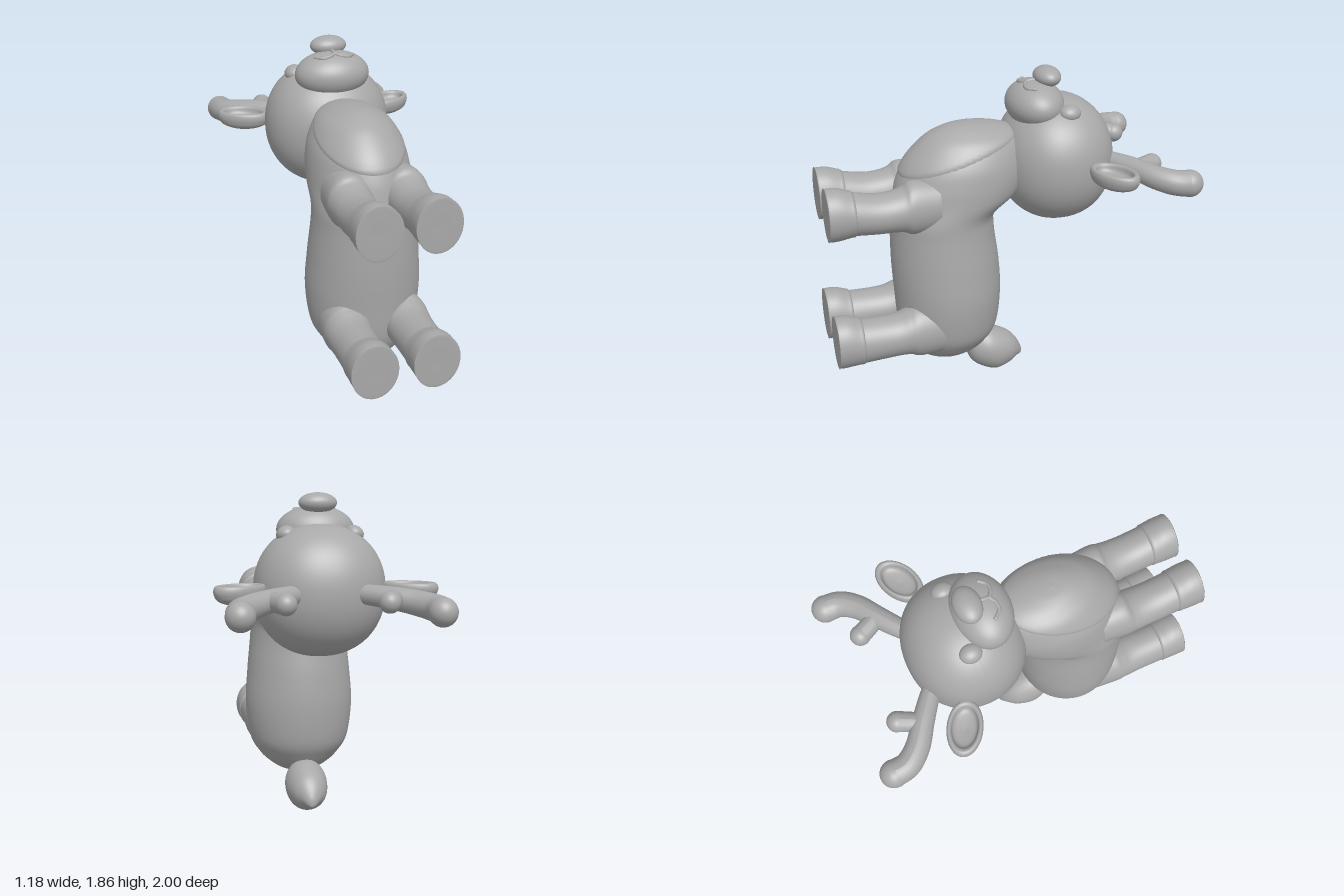
import * as THREE from 'three';

// Closed surface through elliptical rings [z, centreY, radiusX, radiusY], ascending in z
function loft(rows, steps = 5, sides = 48) {
  const curve = (f) => new THREE.CatmullRomCurve3(rows.map(f), false, 'catmullrom', 0.5);
  const centres = curve(([z, c]) => new THREE.Vector3(0, c, z));
  const radii = curve(([, , rx, ry]) => new THREE.Vector3(rx, ry, 0));
  const n = (rows.length - 1) * steps;
  const pos = [], index = [];
  for (let i = 0; i <= n; i++) {
    const p = centres.getPoint(i / n), r = radii.getPoint(i / n);
    for (let j = 0; j < sides; j++) {
      const a = (j / sides) * Math.PI * 2;
      pos.push(Math.cos(a) * Math.max(r.x, 0.0005), p.y + Math.sin(a) * Math.max(r.y, 0.0005), p.z);
    }
  }
  for (let i = 0; i < n; i++) {
    for (let j = 0; j < sides; j++) {
      const k = (j + 1) % sides;
      const a = i * sides + j, b = i * sides + k, c = a + sides, d = b + sides;
      index.push(a, b, c, b, d, c);
    }
  }
  const g = new THREE.BufferGeometry();
  g.setAttribute('position', new THREE.Float32BufferAttribute(pos, 3));
  g.setIndex(index);
  g.computeVertexNormals();
  return g;
}

// Tube whose radius grows evenly along its path
function taperedTube(points, r0, r1) {
  const path = new THREE.CatmullRomCurve3(points.map((p) => new THREE.Vector3(...p)));
  const segs = 28, sides = 20;
  const g = new THREE.TubeGeometry(path, segs, 1, sides, false);
  const pos = g.attributes.position, v = new THREE.Vector3();
  for (let i = 0; i <= segs; i++) {
    const c = path.getPointAt(i / segs), r = r0 + (r1 - r0) * (i / segs);
    for (let j = 0; j <= sides; j++) {
      const k = i * (sides + 1) + j;
      v.fromBufferAttribute(pos, k).sub(c).multiplyScalar(r).add(c);
      pos.setXYZ(k, v.x, v.y, v.z);
    }
  }
  g.computeVertexNormals();
  return g;
}

export function createModel() {
  const model = new THREE.Group();
  const grey = new THREE.MeshStandardMaterial({ color: 0xa8a8a8 });
  grey.name = 'plain grey';

  const add = (name, geometry, x = 0, y = 0, z = 0) => {
    const m = new THREE.Mesh(geometry, grey);
    m.name = name;
    m.position.set(x, y, z);
    model.add(m);
    return m;
  };
  const ellipsoid = (name, x, y, z, rx, ry, rz) =>
    add(name, new THREE.SphereGeometry(1, 40, 28).scale(rx, ry, rz), x, y, z);

  // Body and neck: [y, z at back, z at belly, half width]
  const bodyRows = [
    [0.175, 0.33, 0.33, 0], [0.19, 0.23, 0.43, 0.1], [0.24, 0.135, 0.52, 0.18],
    [0.3, 0.08, 0.57, 0.24], [0.4, 0.03, 0.605, 0.295], [0.6, 0.01, 0.62, 0.32],
    [0.8, 0.02, 0.63, 0.308], [1.0, 0.045, 0.63, 0.288], [1.1, 0.03, 0.63, 0.283],
    [1.2, -0.1, 0.61, 0.28], [1.3, -0.15, 0.585, 0.272], [1.4, -0.15, 0.535, 0.25],
    [1.5, -0.12, 0.44, 0.195], [1.55, -0.05, 0.36, 0.13], [1.577, 0.08, 0.28, 0.065],
    [1.585, 0.19, 0.19, 0],
  ].map(([y, b, f, w]) => [y, -(b + f) / 2, w, (f - b) / 2]);
  const bodyGeo = loft(bodyRows, 8, 64).rotateX(-Math.PI / 2);
  add('body', bodyGeo);

  // Chest patch: the body skin raised above a slanting seam and sunk below it
  const chest = bodyGeo.clone();
  const cp = chest.attributes.position, cn = chest.attributes.normal;
  for (let i = 0; i < cp.count; i++) {
    const d = cp.getY(i) - (1.5 - 0.29 * cp.getZ(i));
    const o = THREE.MathUtils.clamp(d * 0.8, -0.02, 0.006);
    cp.setXYZ(i, cp.getX(i) + cn.getX(i) * o, cp.getY(i) + cn.getY(i) * o, cp.getZ(i) + cn.getZ(i) * o);
  }
  chest.computeVertexNormals();
  add('chestPatch', chest);

  // Head: a slightly squared ellipsoid
  const headGeo = new THREE.SphereGeometry(1, 64, 48);
  const hp = headGeo.attributes.position, e = 2.15;
  for (let i = 0; i < hp.count; i++) {
    const v = new THREE.Vector3().fromBufferAttribute(hp, i);
    const s = Math.pow(Math.abs(v.x) ** e + Math.abs(v.y) ** e + Math.abs(v.z) ** e, -1 / e);
    hp.setXYZ(i, v.x * s * 0.355, v.y * s * 0.355, v.z * s * 0.325);
  }
  headGeo.computeVertexNormals();
  add('head', headGeo, 0, 1.342, -0.322);

  // Face
  ellipsoid('muzzle', 0, 1.66, -0.205, 0.213, 0.13, 0.158);
  ellipsoid('nose', 0, 1.805, -0.275, 0.104, 0.055, 0.074);
  const onMuzzle = (x, z) => new THREE.Vector3(
    x, 1.66 + 0.13 * Math.sqrt(1 - (x / 0.213) ** 2 - ((z + 0.205) / 0.158) ** 2), z);
  const line = (name, pts) => {
    const path = new THREE.CatmullRomCurve3(pts.map((p) => onMuzzle(...p)));
    add(name, new THREE.TubeGeometry(path, 24, 0.011, 10));
    ellipsoid(name + 'End', ...path.getPoint(1).toArray(), 0.011, 0.011, 0.011);
  };
  line('mouthCentre', [[0, -0.23], [0, -0.19], [0, -0.155]]);

  // Leg and hoof profiles: [z, centreY, radiusX, radiusY]
  const frontLeg = [[0.4, 1.2, 0.11, 0.14], [0.54, 1.2, 0.122, 0.15], [0.59, 1.195, 0.12, 0.125],
    [0.65, 1.19, 0.117, 0.112], [0.74, 1.19, 0.115, 0.11], [0.87, 1.207, 0.115, 0.118]];
  const frontHoof = [[0.84, 1.207, 0.07, 0.08], [0.855, 1.207, 0.116, 0.121], [0.88, 1.21, 0.12, 0.129],
    [0.93, 1.214, 0.123, 0.142], [0.975, 1.214, 0.123, 0.146], [0.995, 1.214, 0.121, 0.144],
    [1, 1.214, 0.114, 0.136], [1, 1.214, 0, 0]];
  const hindLeg = [[0.35, 0.45, 0.115, 0.15], [0.53, 0.45, 0.13, 0.155], [0.59, 0.45, 0.128, 0.135],
    [0.65, 0.442, 0.124, 0.122], [0.74, 0.437, 0.12, 0.122], [0.87, 0.435, 0.12, 0.128]];
  const hindHoof = [[0.84, 0.435, 0.07, 0.08], [0.855, 0.437, 0.121, 0.131], [0.88, 0.441, 0.125, 0.138],
    [0.93, 0.448, 0.128, 0.149], [0.975, 0.448, 0.128, 0.152], [0.995, 0.448, 0.126, 0.15],
    [1, 0.448, 0.118, 0.142], [1, 0.448, 0, 0]];

  // Dished ear shape, opening towards the face
  const earProfile = [[0, -0.055], [0.5, -0.048], [0.85, -0.027], [0.97, 0], [1, 0.022], [0.96, 0.042],
    [0.86, 0.05], [0.75, 0.042], [0.68, 0.018], [0.5, 0.004], [0, -0.004]];

  for (const s of [1, -1]) {
    const side = s > 0 ? 'left' : 'right';
    line(side + 'MouthCurl', [[0, -0.158], [s * 0.03, -0.138], [s * 0.075, -0.137], [s * 0.108, -0.17]]);
    ellipsoid(side + 'Eye', s * 0.185, 1.645, -0.343, 0.052, 0.042, 0.06).rotation.z = -s * 0.35;

    add(side + 'FrontLeg', loft(frontLeg), s * 0.155);
    add(side + 'FrontHoof', loft(frontHoof, 3), s * 0.155);
    add(side + 'HindLeg', loft(hindLeg), s * 0.17);
    add(side + 'HindHoof', loft(hindHoof, 3), s * 0.17);

    const ear = add(side + 'Ear', new THREE.LatheGeometry(
      new THREE.SplineCurve(earProfile.map((p) => new THREE.Vector2(...p))).getPoints(40)
        .map((p) => new THREE.Vector2(Math.max(p.x, 0), p.y)), 48), s * 0.45, 1.345, -0.503);
    ear.scale.set(0.152, 1, 0.095);
    ear.rotation.y = s * 0.5;

    // Antler with one short branch
    const tip = [s * 0.5, 1.285, -0.925], fork = [s * 0.262, 1.325, -0.808];
    add(side + 'Antler', taperedTube([[s * 0.14, 1.345, -0.54], [s * 0.22, 1.34, -0.61],
      [s * 0.32, 1.33, -0.685], [s * 0.43, 1.31, -0.765], [s * 0.49, 1.295, -0.845], tip], 0.05, 0.074));
    ellipsoid(side + 'AntlerTip', ...tip, 0.075, 0.075, 0.075);
    add(side + 'AntlerBranch', taperedTube([[s * 0.325, 1.33, -0.685], [s * 0.29, 1.328, -0.75], fork], 0.05, 0.055));
    ellipsoid(side + 'AntlerBranchTip', ...fork, 0.056, 0.056, 0.056);
  }

  // Teardrop tail
  add('tail', loft([[-0.14, 0.085, 0, 0], [-0.133, 0.095, 0.025, 0.03], [-0.1, 0.122, 0.062, 0.064],
    [-0.05, 0.132, 0.098, 0.103], [0.03, 0.14, 0.121, 0.136], [0.1, 0.158, 0.12, 0.133],
    [0.165, 0.168, 0.09, 0.1], [0.195, 0.17, 0.05, 0.055], [0.205, 0.17, 0, 0]]));

  return model;
}
